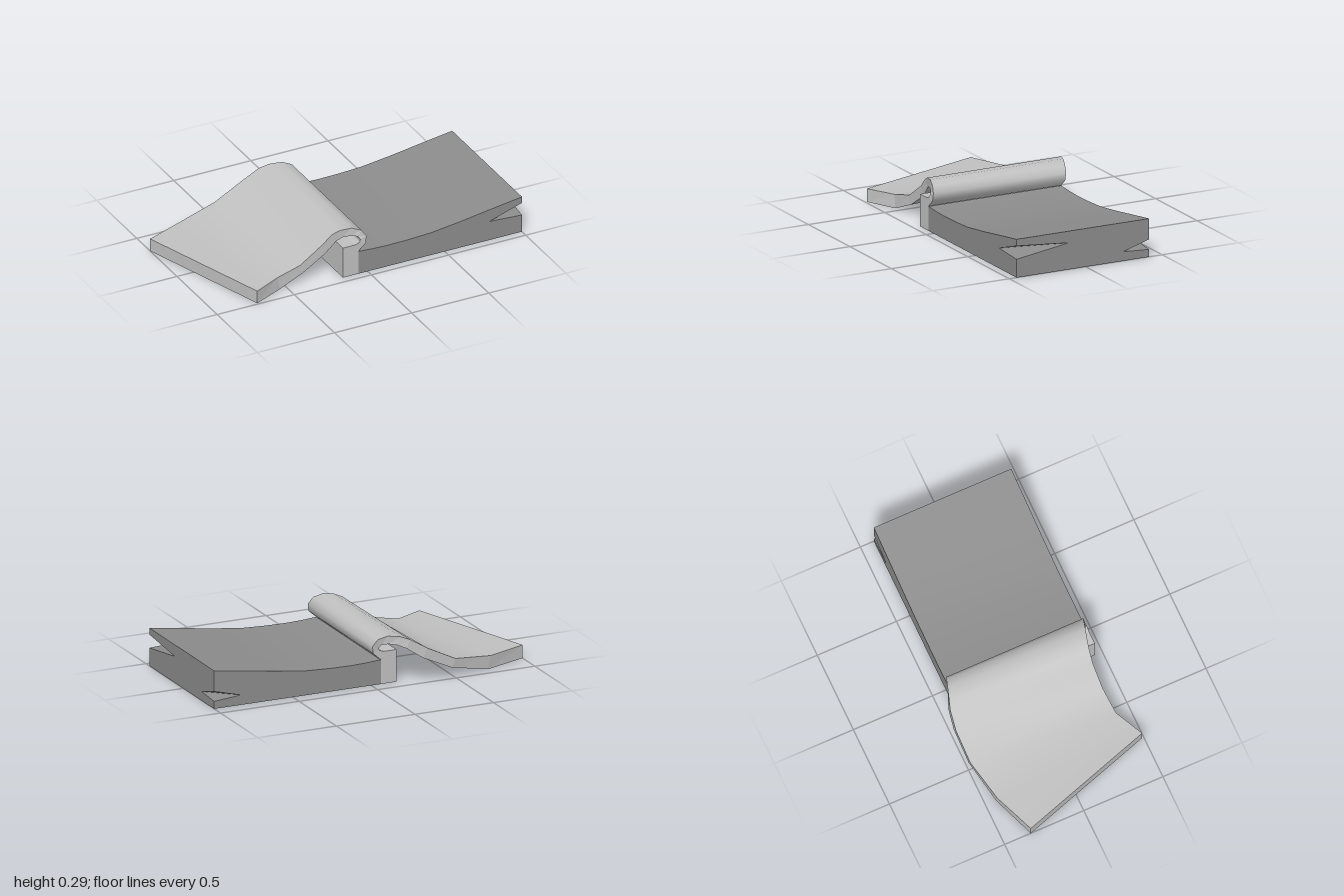
import * as THREE from 'three';

const bodyMat = new THREE.MeshStandardMaterial({ color: 0x8c8c8c, side: THREE.DoubleSide });
bodyMat.name = 'mid grey';
const lightMat = new THREE.MeshStandardMaterial({ color: 0xc0c0c0, side: THREE.DoubleSide });
lightMat.name = 'light grey';

const FRONT = 0.453, BACK = -0.415, LEFT = -0.16, SEAM = -0.06, END = 1;

export function createModel() {
  const model = new THREE.Group();

  function add(name, geometry, material) {
    const mesh = new THREE.Mesh(geometry, material);
    mesh.name = name;
    model.add(mesh);
    return mesh;
  }

  // Skin between two rows of points, smooth or faceted
  function strip(name, a, b, material, smooth = true) {
    const index = [];
    for (let i = 0; i < a.length - 1; i++) {
      const j = a.length + i;
      index.push(i, j, i + 1, j, j + 1, i + 1);
    }
    let g = new THREE.BufferGeometry();
    g.setAttribute('position', new THREE.Float32BufferAttribute([...a, ...b].flat(), 3));
    g.setIndex(index);
    if (!smooth) g = g.toNonIndexed();
    g.computeVertexNormals();
    add(name, g, material);
  }

  // Flat upright wall drawn in its own plane, then turned to face outward
  function wall(name, points, angle, x, z, material) {
    const shape = new THREE.Shape(points.map(([u, v]) => new THREE.Vector2(u, v)));
    const g = new THREE.ShapeGeometry(shape);
    g.rotateY(angle);
    g.translate(x, 0, z);
    add(name, g, material);
  }

  // Body: a thin shell, open underneath, with a dished top
  const profile = [[SEAM, 0.147], [0.03, 0.141], [0.13, 0.138], [0.26, 0.14], [0.41, 0.147],
    [0.6, 0.171], [0.8, 0.201], [END, 0.23]];
  strip('bodyTop', profile.map(([x, y]) => [x, y, BACK]), profile.map(([x, y]) => [x, y, FRONT]), bodyMat);

  // Corner notches: upper and lower corner heights, side apex [x, y], end apex [z, y]
  const frontNotch = { z: FRONT, hi: 0.19, lo: 0.11, side: [0.79, 0.122], end: [0.11, 0.16] };
  const backNotch = { z: BACK, hi: 0.105, lo: 0.045, side: [0.83, 0.06], end: [-0.245, 0.055] };

  const sideOutline = (n) => [[SEAM, 0], [END, 0], [END, n.lo], n.side, [END, n.hi], ...[...profile].reverse()];
  wall('bodyFrontWall', sideOutline(frontNotch), 0, 0, FRONT, bodyMat);
  wall('bodyBackWall', sideOutline(backNotch).map(([x, y]) => [-x, y]), Math.PI, 0, BACK, bodyMat);
  wall('bodyEndWall', [
    [FRONT, 0], [BACK, 0], [BACK, backNotch.lo], backNotch.end, [BACK, backNotch.hi], [BACK, 0.23],
    [FRONT, 0.23], [FRONT, frontNotch.hi], frontNotch.end, [FRONT, frontNotch.lo],
  ].map(([z, y]) => [-z, y]), Math.PI / 2, END, 0, bodyMat);

  // Two inner faces of each notch
  function notchFace(name, n, y, facesUp) {
    const corner = [END, y, n.z];
    const side = [n.side[0], n.side[1], n.z];
    const end = [END, n.end[1], n.end[0]];
    const order = (n.z > 0) === facesUp ? [corner, end, side] : [corner, side, end];
    const g = new THREE.BufferGeometry();
    g.setAttribute('position', new THREE.Float32BufferAttribute(order.flat(), 3));
    g.computeVertexNormals();
    add(name, g, bodyMat);
  }
  for (const [name, n] of [['frontNotch', frontNotch], ['backNotch', backNotch]]) {
    notchFace(name + 'Ceiling', n, n.hi, false);
    notchFace(name + 'Floor', n, n.lo, true);
  }

  // Light block under the hook, also open underneath
  const H = 0.195;
  const box = [[LEFT, 0], [SEAM, 0], [SEAM, H], [LEFT, H]];
  wall('blockFrontWall', box, 0, 0, FRONT, lightMat);
  wall('blockBackWall', box.map(([x, y]) => [-x, y]), Math.PI, 0, BACK, lightMat);
  wall('blockLeftWall', [[BACK, 0], [FRONT, 0], [FRONT, H], [BACK, H]], -Math.PI / 2, LEFT, 0, lightMat);
  strip('blockTop', [[LEFT, H, BACK], [SEAM, H, BACK]], [[LEFT, H, FRONT], [SEAM, H, FRONT]], lightMat);

  // Ramp and hook rungs: back x, back z, front x, front z, outer y, inner x offset, inner y
  const rungs = [
    [-1, -0.335, -0.735, 0.49, 0.08, 0, 0],
    [-0.75, -0.433, -0.56, 0.405, 0.08, 0.015, 0],
    [-0.5, -0.49, -0.405, 0.392, 0.115, 0.02, 0.062],
    [-0.32, -0.497, -0.27, 0.39, 0.205, 0.03, 0.15],
    [-0.215, -0.485, -0.2, 0.398, 0.268, 0.025, 0.218],
    [-0.16, -0.468, -0.155, 0.408, 0.288, 0.015, 0.238],
    [-0.09, -0.445, -0.09, 0.425, 0.295, -0.005, 0.246],
    [-0.035, -0.427, -0.035, 0.44, 0.275, -0.025, 0.24],
    [-0.006, -0.418, -0.006, 0.45, 0.235, -0.039, 0.222],
    [-0.012, BACK, -0.012, FRONT, 0.19, -0.04, 0.205],
    [SEAM, BACK, SEAM, FRONT, 0.148, -0.02, H],
  ];
  const outerBack = rungs.map(([bx, bz, , , y]) => [bx, y, bz]);
  const outerFront = rungs.map(([, , fx, fz, y]) => [fx, y, fz]);
  const innerBack = rungs.map(([bx, bz, , , , d, y]) => [bx + d, y, bz]);
  const innerFront = rungs.map(([, , fx, fz, , d, y]) => [fx + d, y, fz]);
  strip('rampTop', outerBack, outerFront, lightMat);
  strip('rampUnderside', innerFront, innerBack, lightMat);
  strip('rampFrontEdge', outerFront, innerFront, lightMat, false);
  strip('rampBackEdge', innerBack, outerBack, lightMat, false);
  strip('rampTip', [outerBack[0], outerFront[0]], [innerBack[0], innerFront[0]], lightMat, false);

  return model;
}
